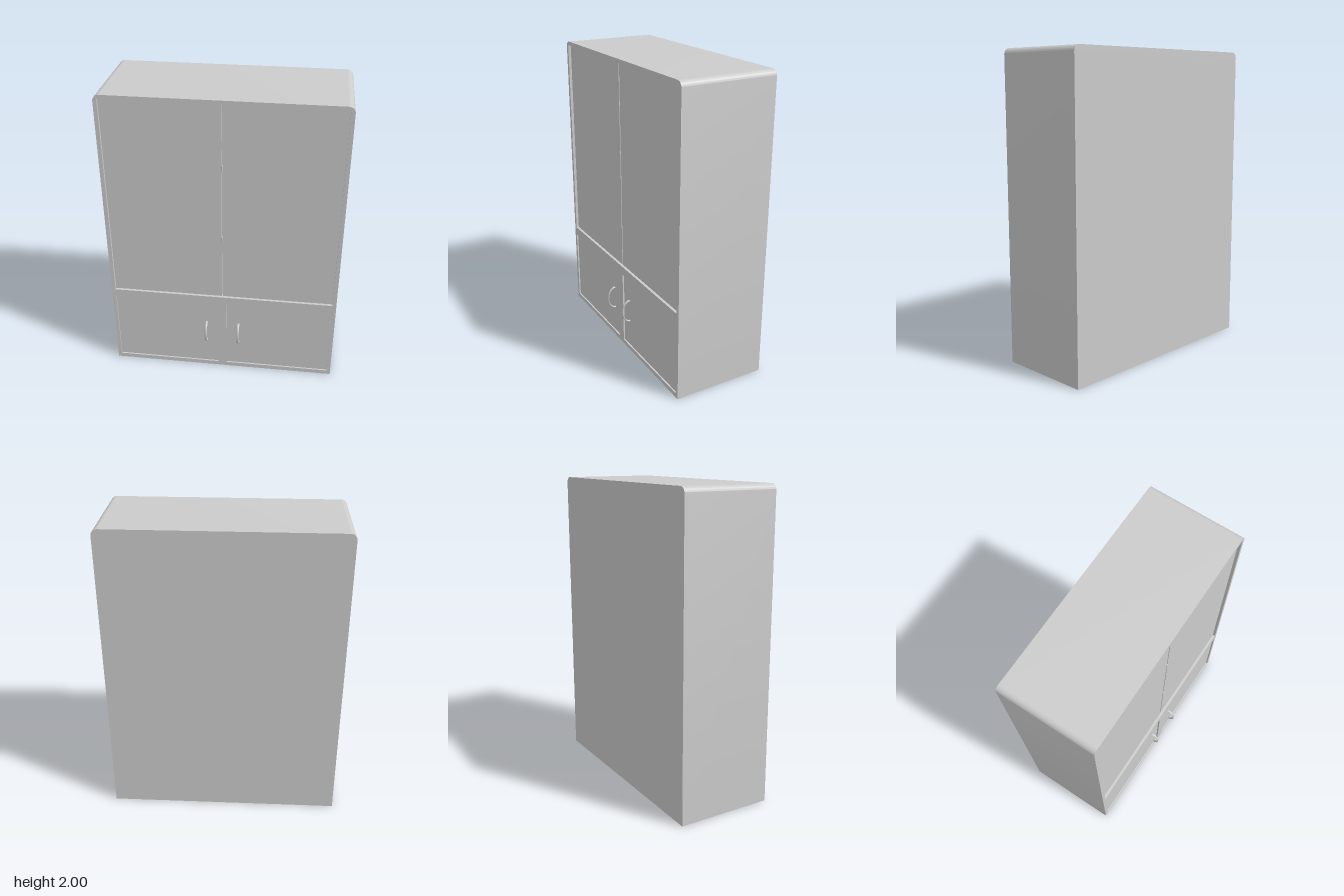
import * as THREE from 'three';
import { toCreasedNormals } from 'three/addons/utils/BufferGeometryUtils.js';

const W = 0.76, H = 2, BACK = -0.34, FRONT = 0.29, R = 0.04;

// Cabinet outline: square at the floor, rounded at the top
function outline() {
  const s = new THREE.Shape();
  s.moveTo(-W, 0);
  s.lineTo(W, 0);
  s.lineTo(W, H - R);
  s.absarc(W - R, H - R, R, 0, Math.PI / 2, false);
  s.absarc(-W + R, H - R, R, Math.PI / 2, Math.PI, false);
  s.closePath();
  return s;
}

function opening(x0, x1, y0, y1) {
  return new THREE.Path([[x0, y0], [x0, y1], [x1, y1], [x1, y0]].map(p => new THREE.Vector2(...p)));
}

function extrude(shape, z0, z1) {
  const g = new THREE.ExtrudeGeometry(shape, { depth: z1 - z0, bevelEnabled: false, curveSegments: 12 });
  return toCreasedNormals(g.translate(0, 0, z0), 0.6);
}

export function createModel() {
  const model = new THREE.Group();
  const material = new THREE.MeshStandardMaterial({ color: 0xcccccc });
  const add = (name, geometry, x = 0, y = 0, z = 0) => {
    const mesh = new THREE.Mesh(geometry, material);
    mesh.name = name;
    mesh.position.set(x, y, z);
    model.add(mesh);
    return mesh;
  };

  // Carcass with one tall opening above and two low openings below
  const frame = outline();
  frame.holes.push(
    opening(-0.735, 0.735, 0.6, 1.975),
    opening(-0.735, -0.03, 0.03, 0.54),
    opening(0.03, 0.735, 0.03, 0.54)
  );
  add('carcass', extrude(frame, BACK + 0.02, FRONT));
  add('backPanel', extrude(outline(), BACK, BACK + 0.02));

  // Half-ellipse pull handle, wider than it is thick
  const arc = [];
  for (let i = 0; i <= 16; i++) {
    const a = -Math.PI / 2 + (Math.PI * i) / 16;
    arc.push(new THREE.Vector3(0, 0.078 * Math.sin(a), 0.054 * Math.cos(a)));
  }
  const handle = new THREE.TubeGeometry(new THREE.CatmullRomCurve3(arc), 32, 0.005, 10).scale(1.6, 1, 1);

  for (const side of [1, -1]) {
    const label = side > 0 ? 'left' : 'right';

    // Tall doors set back in the opening, with a fine seam between them
    add(label + 'UpperDoor', new THREE.BoxGeometry(0.731, 1.375, 0.02), side * 0.3695, 1.2875, 0.262);

    // Low doors, set back less, each with a handle
    add(label + 'LowerDoor', new THREE.BoxGeometry(0.705, 0.51, 0.02), side * 0.3825, 0.285, 0.27);
    add(label + 'Handle', handle, side * 0.11, 0.3, 0.281);
  }

  // Small hinge pins in the seam
  for (const y of [1.56, 1.05]) {
    add('seamPin', new THREE.CylinderGeometry(0.005, 0.005, 0.04, 12), 0, y, 0.272);
  }
  // Thin strip closing the seam from behind
  add('seamStrip', new THREE.BoxGeometry(0.03, 1.375, 0.01), 0, 1.2875, 0.247);

  return model;
}
